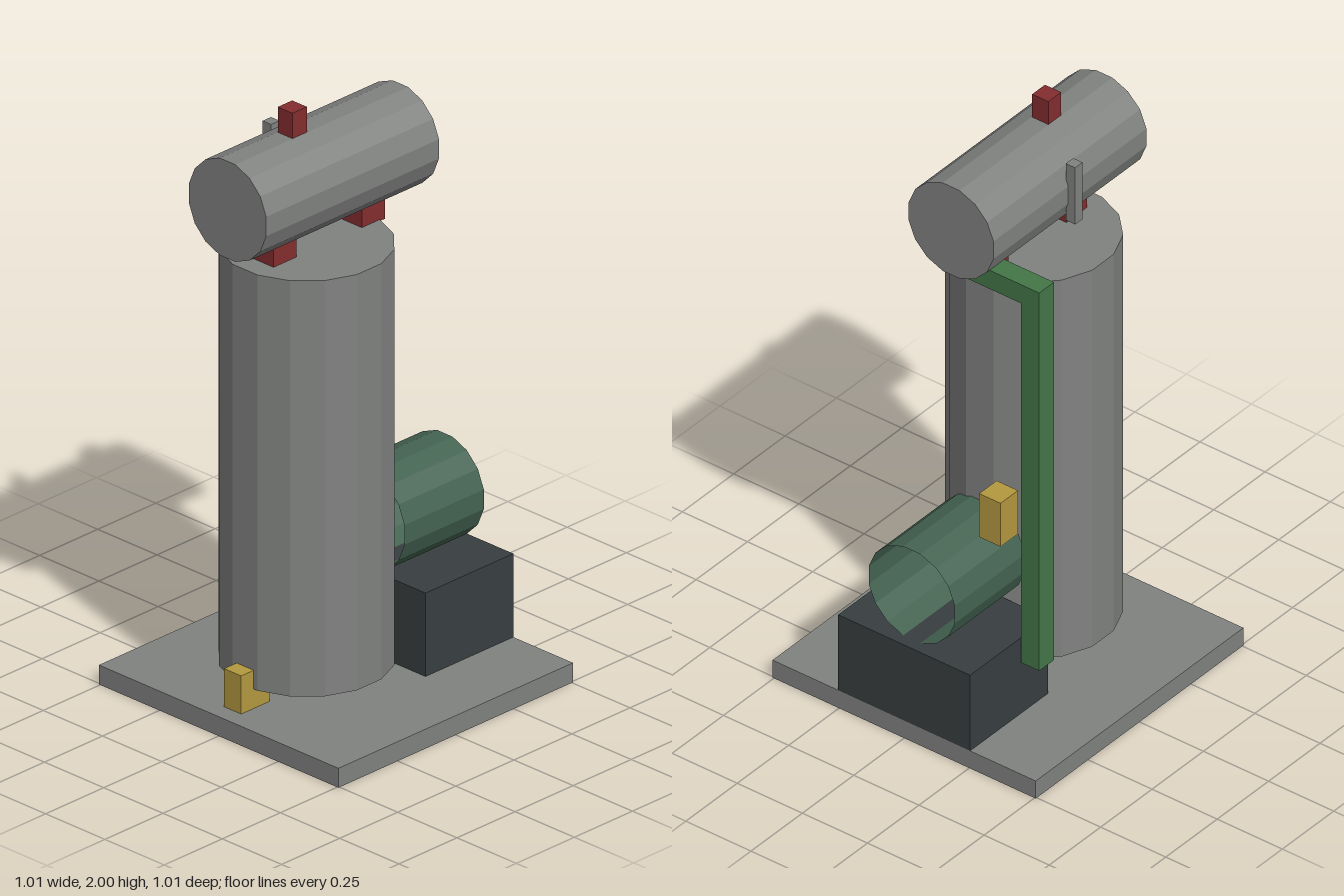
import * as THREE from 'three';

const SIDES = 16;

function makeMaterial(name, color, extra = {}) {
  const m = new THREE.MeshStandardMaterial({ color, flatShading: true, ...extra });
  m.name = name;
  return m;
}

export function createModel() {
  const model = new THREE.Group();
  model.name = 'compressorUnit';

  const steel = makeMaterial('steelGrey', 0x808280);
  const charcoal = makeMaterial('charcoal', 0x383e40);
  const motorGreen = makeMaterial('motorGreen', 0x446351, { side: THREE.DoubleSide });
  const pipeGreen = makeMaterial('pipeGreen', 0x447648);
  const red = makeMaterial('red', 0x842d2f);
  const brass = makeMaterial('brass', 0xb3983f);

  function add(name, geometry, material) {
    const mesh = new THREE.Mesh(geometry, material);
    mesh.name = name;
    model.add(mesh);
    return mesh;
  }

  // Box given by its extents along each axis
  function box(name, material, [x0, x1], [y0, y1], [z0, z1]) {
    const mesh = add(name, new THREE.BoxGeometry(x1 - x0, y1 - y0, z1 - z0), material);
    mesh.position.set((x0 + x1) / 2, (y0 + y1) / 2, (z0 + z1) / 2);
  }

  // Faceted cylinder measured across its flats, with flats facing the axes
  function drum(name, material, flat, length, open = false) {
    const r = flat / Math.cos(Math.PI / SIDES);
    const geometry = new THREE.CylinderGeometry(r, r, length, SIDES, 1, open);
    geometry.rotateY(Math.PI / SIDES);
    return add(name, geometry, material);
  }

  // Base plate and motor block
  box('basePlate', steel, [-0.505, 0.505], [0, 0.065], [-0.505, 0.505]);
  box('motorBlock', charcoal, [-0.253, 0.253], [0.065, 0.345], [-0.505, -0.127]);

  // Upright tank
  drum('tank', steel, 0.264, 1.395).position.set(0, 0.8275, 0.127);

  // Horizontal drum on top
  const header = drum('topDrum', steel, 0.163, 0.744);
  header.rotation.x = Math.PI / 2;
  header.position.set(0, 1.752, 0.095);

  // Open motor shell on the block
  const shell = drum('motorShell', motorGreen, 0.165, 0.342, true);
  shell.rotation.x = Math.PI / 2;
  shell.position.set(0, 0.51, -0.297);

  // Saddles between tank and drum, and the relief valve on top
  for (const z of [-0.11, 0.27]) {
    box('saddle', red, [-0.05, 0.05], [1.52, 1.6], [z - 0.05, z + 0.05]);
  }
  box('reliefValve', red, [-0.031, 0.031], [1.88, 2], [0.157, 0.219]);

  // Sight gauge on the drum's side
  box('sightGauge', steel, [-0.19, -0.154], [1.655, 1.865], [0.086, 0.122]);

  // Pipe: riser and the elbow running into the drum
  box('pipeRiser', pipeGreen, [-0.329, -0.259], [0.26, 1.66], [-0.265, -0.193]);
  box('pipeElbow', pipeGreen, [-0.259, 0], [1.591, 1.66], [-0.265, -0.193]);

  // Brass fittings
  box('motorTerminal', brass, [-0.19, -0.108], [0.665, 0.826], [-0.277, -0.192]);
  box('drainValve', brass, [-0.036, 0.036], [0.065, 0.193], [0.322, 0.445]);

  return model;
}
